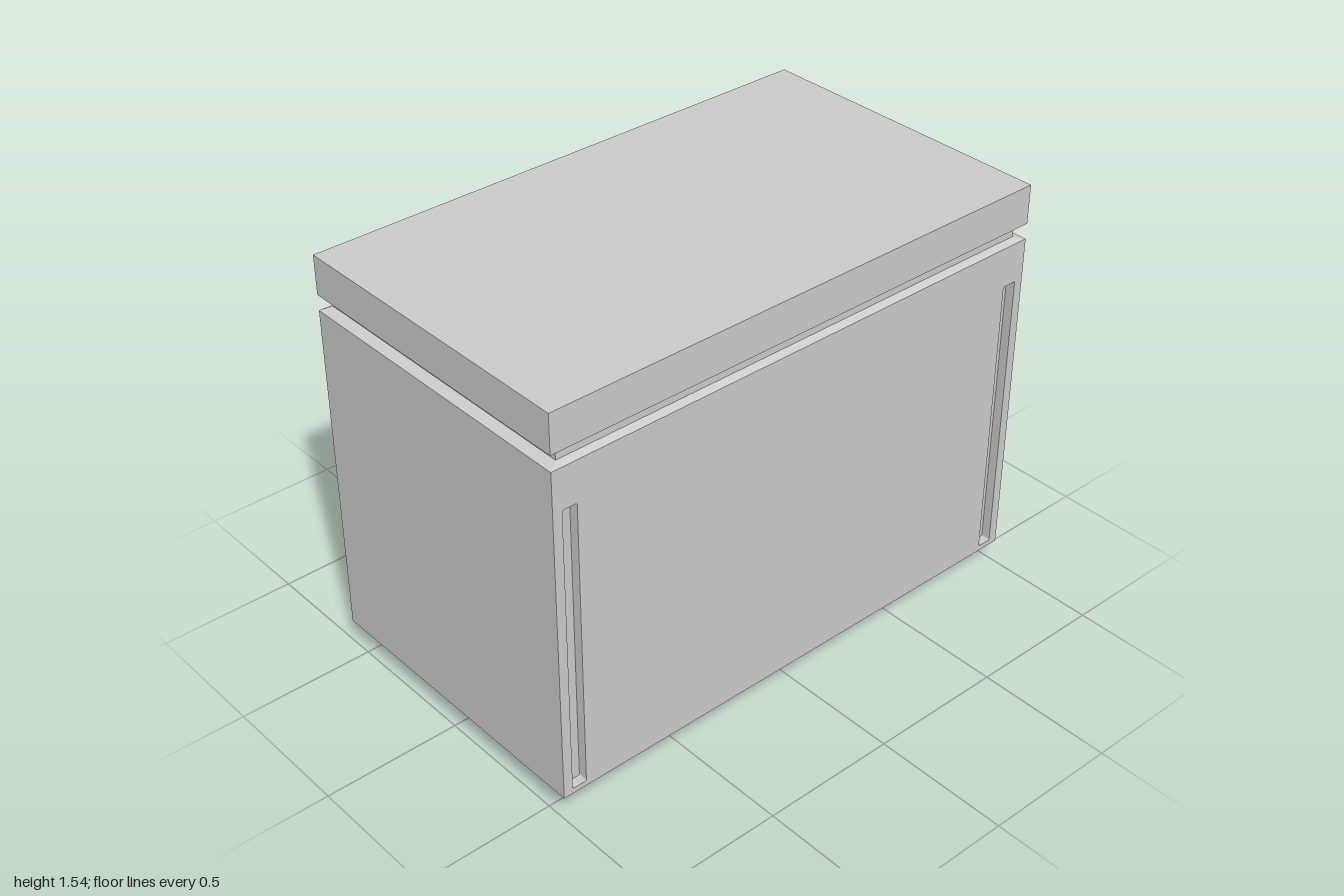
import * as THREE from 'three';

const W = 2, D = 1.16;            // outer width and depth
const BASE = 0.09, TOP = 1.34;    // body bottom and top
const SLOT_DEPTH = 0.035;

const material = new THREE.MeshStandardMaterial({ color: 0xcccccc });

function add(group, name, geometry, x = 0, y = 0, z = 0) {
  const mesh = new THREE.Mesh(geometry, material);
  mesh.name = name;
  mesh.position.set(x, y, z);
  group.add(mesh);
  return mesh;
}

// Box between two heights whose lower and upper edges are inset separately
function taperedBlock(y0, y1, inset0, inset1) {
  const g = new THREE.BoxGeometry(W, y1 - y0, D);
  g.translate(0, (y0 + y1) / 2, 0);
  const p = g.attributes.position;
  const mid = (y0 + y1) / 2;
  for (let i = 0; i < p.count; i++) {
    const inset = p.getY(i) > mid ? inset1 : inset0;
    p.setX(i, p.getX(i) * (1 - inset * 0.037));
    p.setZ(i, p.getZ(i) * (1 - inset * 0.043));
  }
  g.computeVertexNormals();
  return g;
}

// Rectangle outline with slightly rounded corners
function roundedSlot(x0, y0, x1, y1, r) {
  const s = new THREE.Path();
  s.absarc(x0 + r, y0 + r, r, Math.PI, Math.PI * 1.5);
  s.absarc(x1 - r, y0 + r, r, Math.PI * 1.5, Math.PI * 2);
  s.absarc(x1 - r, y1 - r, r, 0, Math.PI / 2);
  s.absarc(x0 + r, y1 - r, r, Math.PI / 2, Math.PI);
  s.closePath();
  return s;
}

export function createModel() {
  const model = new THREE.Group();
  model.name = 'chest';

  // Main body behind the front panel
  const bodyDepth = D - SLOT_DEPTH;
  add(model, 'body', new THREE.BoxGeometry(W, TOP - BASE, bodyDepth),
    0, (BASE + TOP) / 2, -SLOT_DEPTH / 2);

  // Front panel with a tall recessed grip slot at each end
  const panel = new THREE.Shape();
  panel.moveTo(-W / 2, BASE);
  panel.lineTo(W / 2, BASE);
  panel.lineTo(W / 2, TOP);
  panel.lineTo(-W / 2, TOP);
  panel.closePath();
  panel.holes.push(roundedSlot(-0.965, 0.11, -0.91, 1.19, 0.006));
  panel.holes.push(roundedSlot(0.91, 0.11, 0.965, 1.19, 0.006));
  add(model, 'frontPanel',
    new THREE.ExtrudeGeometry(panel, { depth: SLOT_DEPTH, bevelEnabled: false, curveSegments: 3 }),
    0, 0, D / 2 - SLOT_DEPTH);

  // Bevelled rim, recessed neck and lid with a bevelled underside
  add(model, 'bodyRim', taperedBlock(TOP, 1.352, 0, 1));
  add(model, 'neck', taperedBlock(1.352, 1.38, 1, 1));
  add(model, 'lidUnderside', taperedBlock(1.38, 1.397, 1, 0));
  add(model, 'lid', taperedBlock(1.397, 1.54, 0, 0));

  // Four short seven-sided feet
  const footGeometry = new THREE.CylinderGeometry(0.06, 0.06, BASE, 7, 1, false, Math.PI);
  for (const x of [-0.882, 0.882]) {
    for (const z of [0.393, -0.455]) {
      add(model, 'foot', footGeometry, x, BASE / 2, z);
    }
  }

  return model;
}
